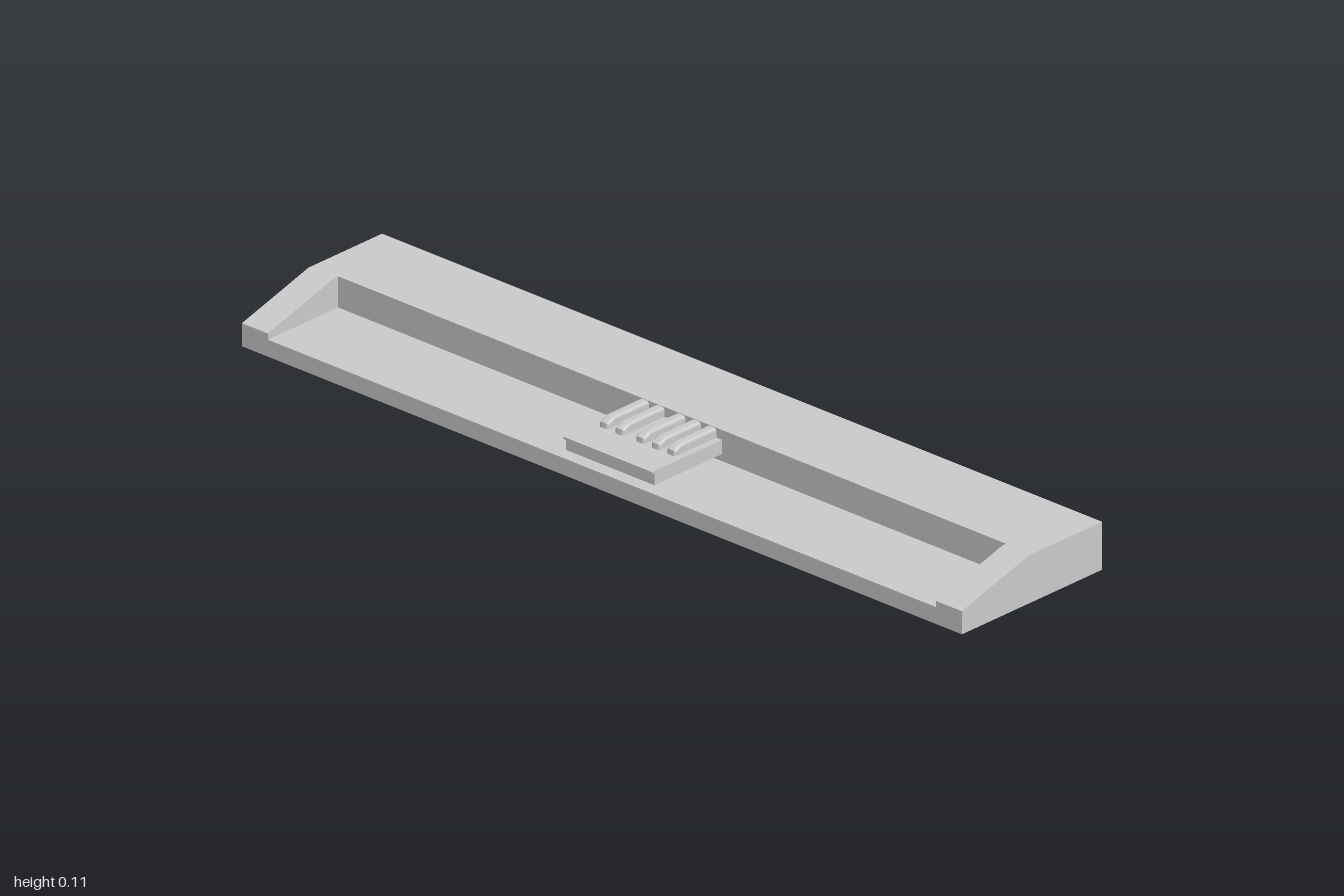
import * as THREE from 'three';

const material = new THREE.MeshStandardMaterial({ color: 0xcccccc, flatShading: true });

// Extrudes a side profile of [z, y] points across the width, from x0 to x1.
function sideExtrude(name, profile, x0, x1, bevel = 0) {
  const shape = new THREE.Shape(profile.map(([z, y]) => new THREE.Vector2(z, y)));
  const geometry = new THREE.ExtrudeGeometry(shape, {
    depth: x1 - x0 - 2 * bevel,
    bevelEnabled: bevel > 0,
    bevelThickness: bevel,
    bevelSize: bevel,
    bevelOffset: -bevel,
    bevelSegments: 3,
  });
  geometry.rotateY(-Math.PI / 2);
  geometry.translate(x1 - bevel, 0, 0);
  const mesh = new THREE.Mesh(geometry, material);
  mesh.name = name;
  return mesh;
}

export function createModel() {
  const model = new THREE.Group();
  model.name = 'dockingTray';

  const back = -0.209, front = 0.209, top = 0.108;
  const inner = 0.928, floor = 0.038;

  // Main body: tall rear block with a low shelf in front
  model.add(sideExtrude('body',
    [[back, 0], [front, 0], [front, floor], [0, floor], [0, top], [back, top]],
    -inner, inner));

  // End walls with sloping front edges
  const endProfile = [[back, 0], [front, 0], [front, 0.052], [0.01, top], [back, top]];
  model.add(sideExtrude('rightEndWall', endProfile, -1, -inner));
  model.add(sideExtrude('leftEndWall', endProfile, inner, 1));

  // Raised plate reaching out from the rear block, with a thin lip on its front edge
  model.add(sideExtrude('plate',
    [[0, 0.054], [0.202, 0.054], [0.202, 0.081], [0.209, 0.081], [0.209, 0.086], [0, 0.086]],
    -0.106, 0.139));

  // Finger-like ribs with chamfered tips, resting on the plate
  const ribs = new THREE.Group();
  ribs.name = 'ribs';
  const ribProfile = [[-0.006, 0.079], [0.125, 0.079], [0.123, 0.098], [0.104, 0.107], [-0.006, 0.107]];
  for (const x of [-0.076, -0.033, 0.025, 0.068, 0.111]) {
    ribs.add(sideExtrude('rib', ribProfile, x - 0.012, x + 0.012, 0.006));
  }
  model.add(ribs);

  return model;
}
